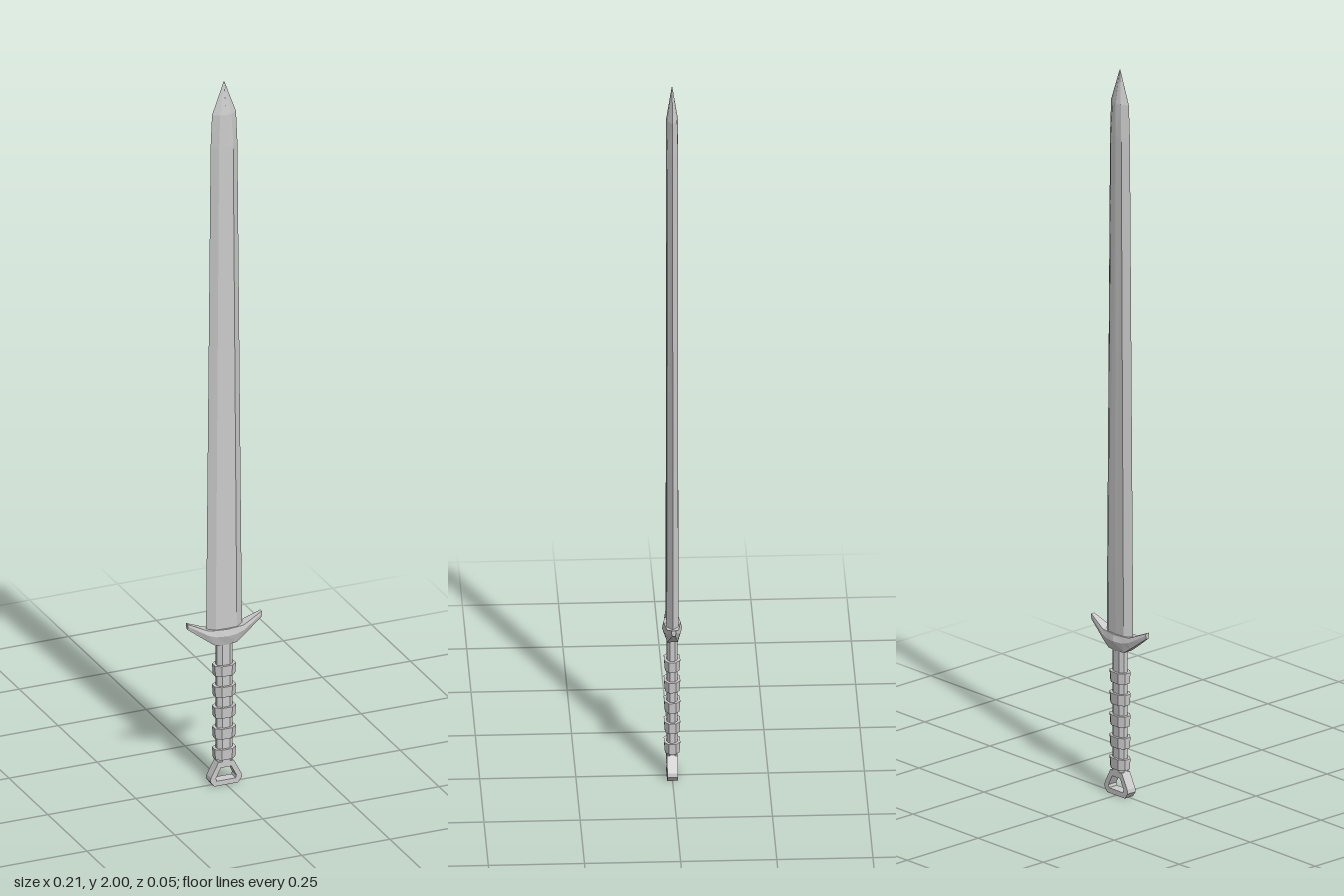
import * as THREE from 'three';

const material = new THREE.MeshStandardMaterial({ color: 0xcccccc, flatShading: true });

// Skin a list of rings (each wound counter-clockwise seen from the far end) and cap both ends
function loft(rings) {
  const n = rings[0].length;
  const index = [];
  for (let i = 0; i < rings.length - 1; i++) {
    for (let j = 0; j < n; j++) {
      const k = (j + 1) % n;
      const a = i * n + j, b = i * n + k, c = b + n, d = a + n;
      index.push(a, b, c, a, c, d);
    }
  }
  const last = (rings.length - 1) * n;
  for (let j = 1; j < n - 1; j++) {
    index.push(0, j + 1, j, last, last + j, last + j + 1);
  }
  const geometry = new THREE.BufferGeometry();
  geometry.setAttribute('position', new THREE.Float32BufferAttribute(rings.flat(2), 3));
  geometry.setIndex(index);
  const flat = geometry.toNonIndexed();
  flat.computeVertexNormals();
  return flat;
}

// Blade ring: sharp edges at +-w, bevels starting at +-f, shallow central ridge
const bladeRing = (y, w, f, zf, zc) => [
  [w, y, 0], [f, y, -zf], [0, y, -zc], [-f, y, -zf],
  [-w, y, 0], [-f, y, zf], [0, y, zc], [f, y, zf],
];

// Grip ring: flattened octagon
const gripRing = (y, w, d) => [
  [w, y, d * 0.45], [w, y, -d * 0.45], [w * 0.5, y, -d], [-w * 0.5, y, -d],
  [-w, y, -d * 0.45], [-w, y, d * 0.45], [-w * 0.5, y, d], [w * 0.5, y, d],
];

// Guard ring: six-sided, widest at mid height, running along x
const guardRing = (x, bottom, top, z) => {
  const mid = bottom + (top - bottom) * 0.6;
  return [
    [x, top, -z * 0.85], [x, top, z * 0.85], [x, mid, z],
    [x, bottom, z * 0.65], [x, bottom, -z * 0.65], [x, mid, -z],
  ];
};

const polygon = (points, Type) => new Type(points.map(([x, y]) => new THREE.Vector2(x, y)));

export function createModel() {
  const group = new THREE.Group();
  const add = (name, geometry, parent = group) => {
    const mesh = new THREE.Mesh(geometry, material);
    mesh.name = name;
    parent.add(mesh);
    return mesh;
  };

  // Blade with a slight taper and a faceted point
  add('blade', loft([
    bladeRing(0.43, 0.051, 0.03, 0.015, 0.016),
    bladeRing(1.82, 0.038, 0.02, 0.014, 0.016),
    bladeRing(1.91, 0.034, 0.016, 0.012, 0.015),
    bladeRing(2.0, 0.001, 0.0006, 0.0006, 0.001),
  ]));

  // Crossguard with upswept arms
  const half = [
    [0.105, 0.456, 0.472, 0.006],
    [0.05, 0.415, 0.447, 0.018],
    [0.03, 0.401, 0.446, 0.021],
  ];
  add('crossguard', loft([
    ...half.map(([x, ...rest]) => guardRing(-x, ...rest)),
    guardRing(0, 0.4, 0.446, 0.026),
    ...half.toReversed().map((section) => guardRing(...section)),
  ]));

  // Grip core and raised bands
  const grip = new THREE.Group();
  grip.name = 'grip';
  group.add(grip);
  add('gripCore', loft([gripRing(0.055, 0.022, 0.014), gripRing(0.41, 0.022, 0.014)]), grip);
  for (let i = 0; i < 5; i++) {
    const y = 0.088 + i * 0.0595;
    add('gripBand', loft([
      gripRing(y - 0.015, 0.028, 0.019),
      gripRing(y + 0.015, 0.03, 0.021),
    ]), grip);
  }

  // Open pommel loop
  const outline = polygon([
    [-0.034, 0], [0.034, 0], [0.045, 0.015], [0.043, 0.026],
    [0.022, 0.066], [-0.022, 0.066], [-0.043, 0.026], [-0.045, 0.015],
  ], THREE.Shape);
  outline.holes.push(polygon([
    [-0.027, 0.014], [-0.029, 0.022], [-0.015, 0.05],
    [0.015, 0.05], [0.029, 0.022], [0.027, 0.014],
  ], THREE.Path));
  const pommel = new THREE.ExtrudeGeometry(outline, { depth: 0.028, bevelEnabled: false });
  add('pommel', pommel.translate(0, 0, -0.014));

  return group;
}
